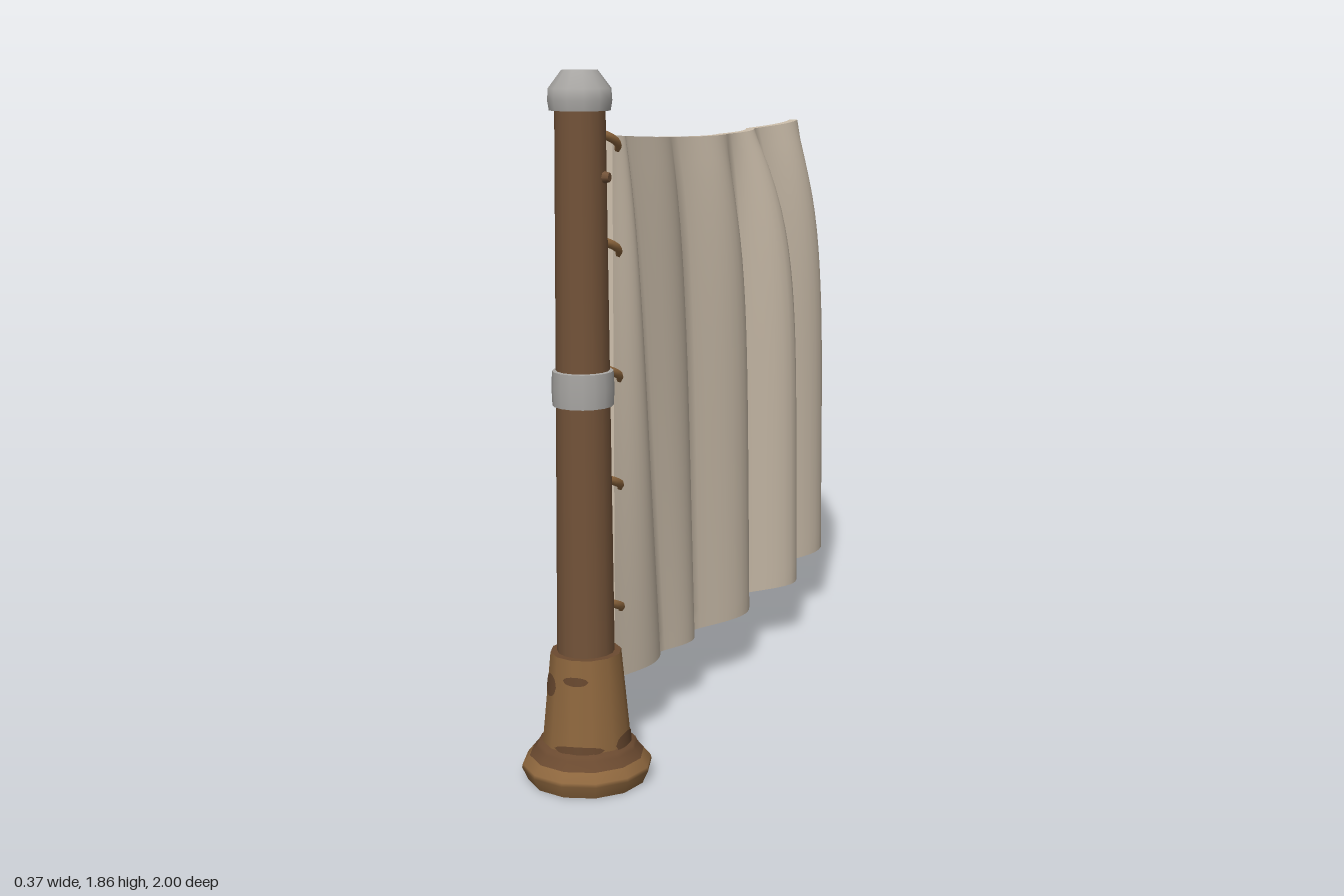
import * as THREE from 'three';

const mat = (name, color, side = THREE.FrontSide) => {
  const m = new THREE.MeshStandardMaterial({ color, side });
  m.name = name;
  return m;
};

export function createModel() {
  const wood = mat('shaft wood', 0x735339);
  const baseWood = mat('base wood', 0x8e673e);
  const stain = mat('dark stain', 0x6b4a30);
  const metal = mat('grey metal', 0xa9a7a4);
  const cloth = mat('canvas', 0xcdbfac);
  const ringMetal = mat('ring metal', 0x77716a);

  const model = new THREE.Group();
  model.name = 'bannerPost';
  const post = new THREE.Group();
  post.name = 'post';
  post.position.set(-0.012, 0, 0.826);
  model.add(post);

  const add = (parent, name, geometry, material) => {
    const mesh = new THREE.Mesh(geometry, material);
    mesh.name = name;
    parent.add(mesh);
    return mesh;
  };
  const turned = (name, points, sides, material) =>
    add(post, name, new THREE.LatheGeometry(points.map(([r, y]) => new THREE.Vector2(r, y)), sides), material);

  // Turned base: wide foot, dark ledge and tapered socket
  turned('foot', [[0, 0], [0.158, 0], [0.158, 0], [0.174, 0.035], [0.172, 0.045], [0.153, 0.068]], 12, baseWood);
  turned('footLedge', [[0.153, 0.068], [0.135, 0.09], [0.131, 0.1], [0.115, 0.106]], 12, stain);
  turned('socket', [[0.118, 0.1], [0.094, 0.35]], 12, baseWood);
  turned('socketRim', [[0.094, 0.35], [0.06, 0.352]], 12, stain);

  // Oval worn patches lying on the socket: angle, middle height, half height, arc, colour, lift
  const patches = [[0.1, 0.295, 0.012, 0.7, stain, 0.0015], [1.55, 0.115, 0.025, 0.9, stain, 0.0015],
    [0.2, 0.112, 0.012, 1.2, stain, 0.0015], [2.7, 0.2, 0.06, 0.8, stain, 0.0015],
    [3.95, 0.225, 0.115, 1.7, stain, 0.0015], [4.0, 0.22, 0.045, 0.7, baseWood, 0.003],
    [5.5, 0.27, 0.03, 0.6, stain, 0.0015]];
  for (const [angle, y, h, arc, colour, lift] of patches) {
    const g = new THREE.CylinderGeometry(1, 1, 2, 12, 1, true, angle - arc / 2, arc);
    const p = g.attributes.position;
    for (let i = 0; i < p.count; i++) {
      const u = g.attributes.uv.getX(i) * 2 - 1;
      const py = y + p.getY(i) * h * Math.sqrt(Math.max(0, 1 - u * u));
      const r = 0.118 + lift - (py - 0.1) * 0.096;
      p.setXYZ(i, p.getX(i) * r, py, p.getZ(i) * r);
    }
    add(post, 'wornPatch', g, colour);
  }

  // Shaft in two lengths, joined by a metal band
  turned('lowerShaft', [[0.076, 0.34], [0.07, 1.03]], 16, wood);
  turned('upperShaft', [[0.07, 1.03], [0.064, 1.78]], 16, wood);
  turned('middleBand', [[0.068, 1.01], [0.079, 1.01], [0.079, 1.01], [0.081, 1.055], [0.079, 1.1], [0.079, 1.1], [0.066, 1.102]], 16, metal);
  turned('topCap', [[0.06, 1.76], [0.078, 1.76], [0.078, 1.76], [0.082, 1.785], [0.08, 1.815], [0.046, 1.86], [0.046, 1.86], [0, 1.86]], 12, metal);

  // Small peg on the side of the shaft
  const peg = add(post, 'peg', new THREE.CylinderGeometry(0.012, 0.018, 0.024, 8), wood);
  peg.rotation.z = -Math.PI / 2;
  peg.position.set(0.067, 1.595, 0);

  // Hanging cloth: a thin box bent into five leaning folds, flat at the top and full below
  const topZ = [0.65, 0.57, 0.2, -0.24, -0.57, -0.975], lowZ = [0.66, 0.36, 0.12, -0.29, -0.62, -0.998];
  const topX = [-0.01, -0.012, -0.01, 0.012, -0.006, 0.02], lowX = [-0.01, 0.01, 0.02, 0.03, 0.04, 0.06];
  const peak = [0.045, 0.07, 0.132, 0.184, 0.165];
  const lerp = THREE.MathUtils.lerp;
  const g = new THREE.BoxGeometry(0.028, 1, 1, 1, 24, 60);
  const p = g.attributes.position;
  for (let i = 0; i < p.count; i++) {
    const s = (0.5 - p.getZ(i)) * 5, t = 0.5 - p.getY(i);
    const k = Math.min(4, Math.floor(s + 1e-5)), u = THREE.MathUtils.clamp(s - k, 0, 1);
    const grow = 1 - Math.pow(1 - t, 6);
    const seam = lerp(lerp(topX[k], topX[k + 1], u), lerp(lowX[k], lowX[k + 1], u), grow);
    const fold = lerp(0.018, peak[k] - 0.014 - (lowX[k] + lowX[k + 1]) / 2, grow);
    const bulge = fold * Math.pow(Math.max(0, Math.sin(Math.PI * Math.pow(u, 1.3))), 0.9);
    const z = lerp(lerp(topZ[k], topZ[k + 1], u), lerp(lowZ[k], lowZ[k + 1], u), t);
    const along = (0.66 - z) / 1.65, sag = Math.sin(Math.PI * along);
    p.setXYZ(i, p.getX(i) + seam + bulge,
      lerp(1.69 - 0.025 * along - 0.025 * sag, 0.215 - 0.015 * along - 0.028 * sag, t), z);
  }
  g.computeVertexNormals();
  add(model, 'cloth', g, cloth);

  // Rings on the post and the slanting loops that hold the cloth
  for (const y of [1.675, 1.4, 1.065, 0.77, 0.43]) {
    const ring = add(model, 'postRing', new THREE.TorusGeometry(0.024, 0.009, 6, 12), ringMetal);
    ring.rotation.y = Math.PI / 2;
    ring.position.set(-0.005, y + 0.03, 0.746);
    const loop = add(model, 'clothLoop', new THREE.TorusGeometry(0.05, 0.013, 6, 14), baseWood);
    loop.scale.set(0.6, 1.05, 0.95);
    loop.rotation.x = Math.PI / 2 - 0.42;
    loop.position.set(-0.005, y, 0.673);
  }
  return model;
}
